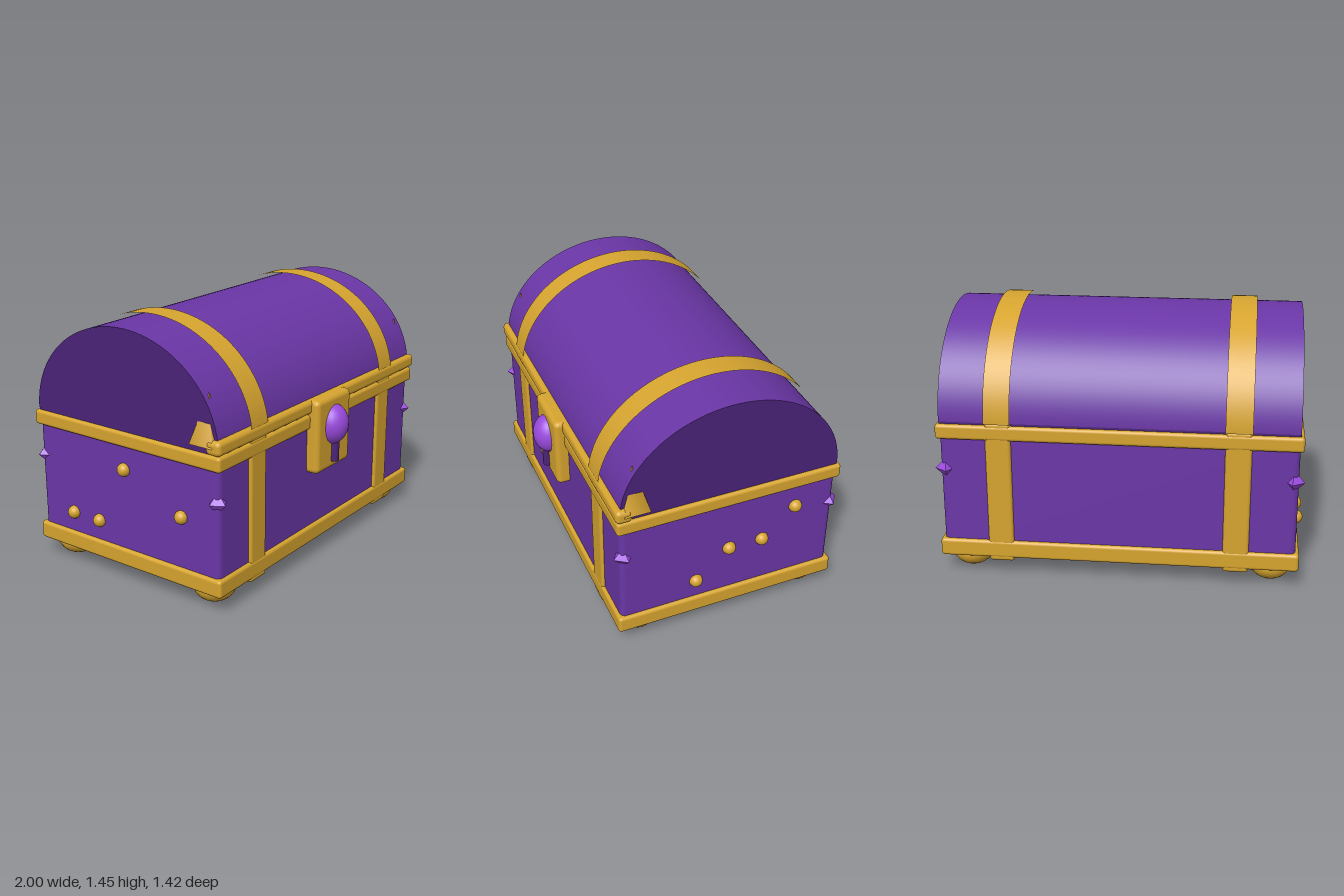
import * as THREE from 'three';
import { RoundedBoxGeometry } from 'three/addons/geometries/RoundedBoxGeometry.js';

const mat = (name, color, extra = {}) => new THREE.MeshStandardMaterial({ name, color, ...extra });

export function createModel() {
  const purple = mat('purple', 0x6a36a6);
  const darkPurple = mat('darkPurple', 0x4b2378);
  const gold = mat('gold', 0xd6a42f);
  const gem = mat('gemPurple', 0x9a4ade);
  const crystal = mat('crystalPurple', 0x9a4ade, { flatShading: true });
  crystal.color = gem.color;

  const group = new THREE.Group();
  const ZC = -0.055; // middle of the chest in z

  const add = (name, geometry, material, x, y, z) => {
    const mesh = new THREE.Mesh(geometry, material);
    mesh.name = name;
    mesh.position.set(x, y, z);
    group.add(mesh);
    return mesh;
  };
  // Rounded box given by its extents
  const block = (name, material, [x0, x1], [y0, y1], [z0, z1], radius) =>
    add(name, new RoundedBoxGeometry(x1 - x0, y1 - y0, z1 - z0, 3, radius), material,
      (x0 + x1) / 2, (y0 + y1) / 2, (z0 + z1) / 2);
  const ball = (name, material, x, y, z, rx, ry, rz) =>
    add(name, new THREE.SphereGeometry(1, 24, 16), material, x, y, z).scale.set(rx, ry, rz);

  // Body
  block('body', purple, [-0.96, 0.96], [0.11, 0.86], [ZC - 0.62, ZC + 0.62], 0.03);

  // Rims: four bars around the body
  const rim = (name, y0, y1) => {
    for (const s of [-1, 1]) {
      const zs = [ZC + s * 0.64, ZC + s * 0.585].sort((a, b) => a - b);
      const xs = [s * 0.98, s * 0.925].sort((a, b) => a - b);
      block(name + 'Long', gold, [-0.98, 0.98], [y0, y1], zs, 0.018);
      block(name + 'Side', gold, xs, [y0, y1], [ZC - 0.64, ZC + 0.64], 0.018);
    }
  };
  rim('bottomRim', 0.1, 0.2);
  rim('topRim', 0.785, 0.868);

  // Domed lid: smooth half barrel and flat ends
  const LID_Y = 0.88, LID_RZ = 0.62, LID_RY = 0.54;
  const halfBarrel = (length) => {
    const g = new THREE.CylinderGeometry(1, 1, length, 64, 1, true, 0, Math.PI);
    g.rotateZ(Math.PI / 2); // the open half now faces up or down along y
    g.computeBoundingBox();
    if (g.boundingBox.max.y < 0.5) g.rotateX(Math.PI);
    return g;
  };
  add('lid', halfBarrel(1.92).scale(1, LID_RY, LID_RZ), purple, 0, LID_Y, ZC);
  for (const s of [-1, 1]) {
    const end = new THREE.CircleGeometry(1, 64, 0, Math.PI);
    end.scale(LID_RZ, LID_RY, 1).rotateY(s * Math.PI / 2);
    add('lidEnd', end, darkPurple, s * 0.96, LID_Y, ZC);
  }
  block('lidSkirt', darkPurple, [-0.96, 0.96], [0.84, 0.885], [ZC - 0.619, ZC + 0.619], 0.004);
  block('lidFrontRim', gold, [-0.99, 0.99], [0.872, 0.95], [0.5, 0.592], 0.025);

  for (const s of [-1, 1]) {
    const x = s * 0.64;
    // Straps around the body and over the lid
    block('bodyStrap', gold, [x - 0.07, x + 0.07], [0.08, 0.885], [ZC - 0.637, ZC + 0.637], 0.018);
    add('lidStrap', halfBarrel(0.143).scale(1, LID_RY + 0.025, LID_RZ + 0.024), gold, x, LID_Y, ZC);

    // Pointed corner pieces at the lid front
    const spike = new THREE.ConeGeometry(0.0725 * Math.SQRT2, 0.262, 4).rotateY(Math.PI / 4);
    add('lidCornerSpike', spike, gold, s * 0.92, 0.91 + 0.131, 0.478);

    for (const z of [0.54, -0.655]) {
      // Corner crystals
      const c = add('cornerCrystal', new THREE.OctahedronGeometry(0.058), crystal, s * 0.935, 0.61, z);
      c.rotation.y = s * 0.2;
    }
    for (const z of [0.435, -0.55]) ball('foot', gold, s * 0.83, 0.09, z, 0.115, 0.09, 0.115);
  }

  // Side rivets: [side, z, y]
  const rivets = [
    [1, 0.135, 0.315], [1, -0.055, 0.485], [1, -0.25, 0.485], [1, -0.44, 0.655],
    [-1, -0.44, 0.315], [-1, -0.25, 0.315], [-1, -0.06, 0.655], [-1, 0.325, 0.485],
  ];
  for (const [s, z, y] of rivets) ball('rivet', gold, s * 0.963, y, z, 0.037, 0.037, 0.037);

  // Lock: plate, gem and key slot
  block('lockPlate', gold, [-0.17, 0.17], [0.527, 0.95], [0.54, 0.637], 0.03);
  ball('lockGem', gem, 0, 0.783, 0.62, 0.097, 0.115, 0.092);
  add('keySlot', new THREE.CylinderGeometry(0.028, 0.028, 0.13, 20), darkPurple, 0, 0.635, 0.638);

  return group;
}
